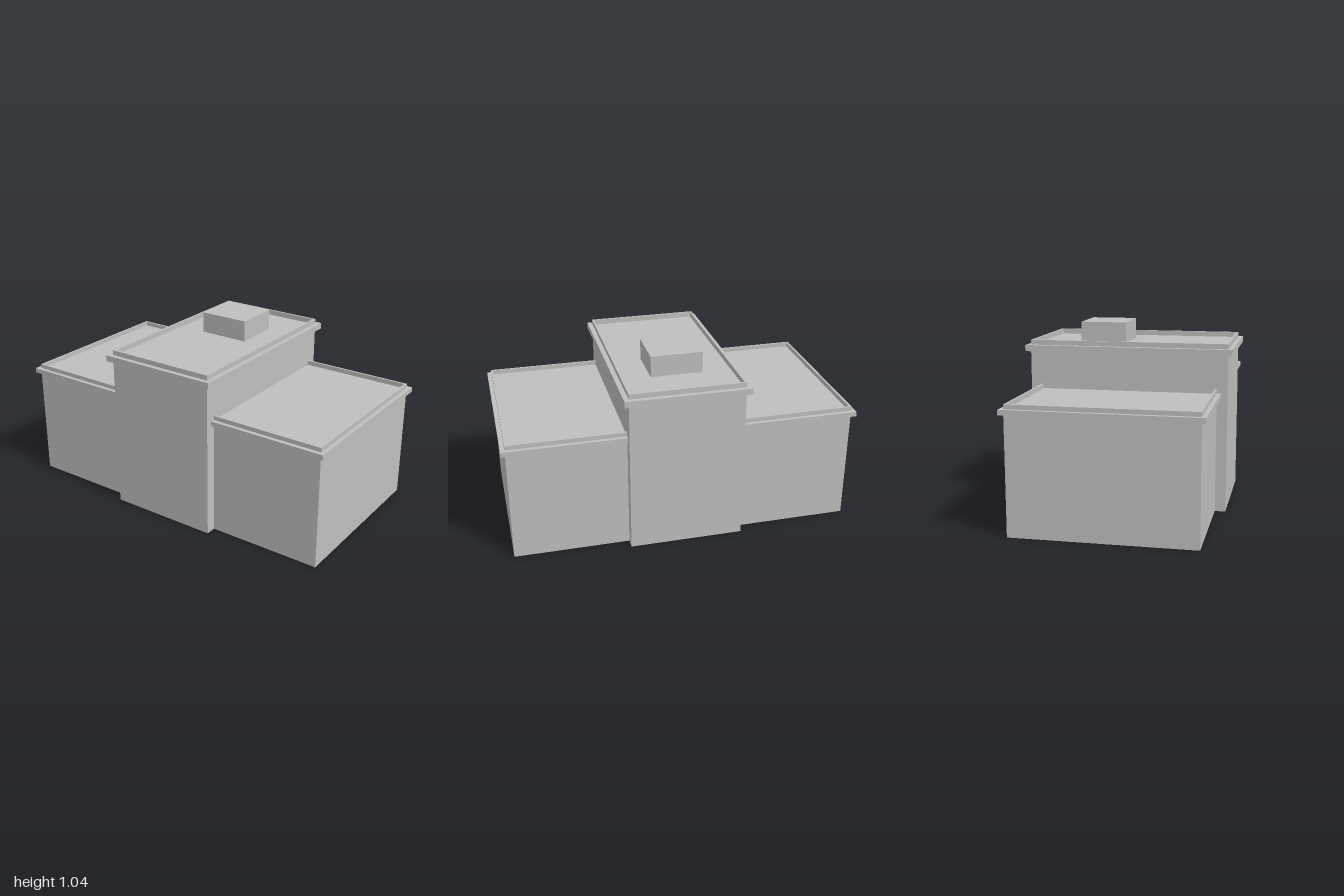
import * as THREE from 'three';

const plaster = new THREE.MeshStandardMaterial({ color: 0xbebebe, side: THREE.DoubleSide });
plaster.name = 'plain grey';

function add(parent, name, geometry) {
  const mesh = new THREE.Mesh(geometry, plaster);
  mesh.name = name;
  parent.add(mesh);
  return mesh;
}

// Thin-walled box between two x positions, without the listed faces
// (face order: +x, -x, top, bottom, +z, -z)
function shell(x0, x1, height, halfDepth, dropped) {
  const g = new THREE.BoxGeometry(x1 - x0, height, halfDepth * 2);
  g.setIndex([...g.index.array].filter((_, i) => !dropped.includes(Math.floor(i / 6))));
  g.clearGroups();
  return g.translate((x0 + x1) / 2, height / 2, 0);
}

// Lays a plan shape flat and raises it from y0 to y1
function raise(shape, y0, y1) {
  return new THREE.ExtrudeGeometry(shape, { depth: y1 - y0, bevelEnabled: false })
    .rotateX(-Math.PI / 2).translate(0, y0, 0);
}

const plan = (points) => points.map(([x, y]) => new THREE.Vector2(x, y));
const rectangle = (x, z) => plan([[-x, -z], [x, -z], [x, z], [-x, z]]);

// Closed rectangular ring
function ring(x, z, inX, inZ) {
  const shape = new THREE.Shape(rectangle(x, z));
  shape.holes.push(new THREE.Path(rectangle(inX, inZ).reverse()));
  return shape;
}

// Three-sided ring, open towards the central block
function bracket(start, x, z, inX, inZ) {
  return new THREE.Shape(plan([
    [start, -z], [x, -z], [x, z], [start, z],
    [start, inZ], [inX, inZ], [inX, -inZ], [start, -inZ],
  ]));
}

export function createModel() {
  const model = new THREE.Group();
  model.name = 'building';
  const cx = 0.323, cz = 0.563; // central block half sizes
  const wx = 0.976, wz = 0.503; // wing outer end and half depth
  const rim = 0.012;

  // Tall central block, open underneath
  const centre = new THREE.Group();
  centre.name = 'centralBlock';
  model.add(centre);
  add(centre, 'centralWallsAndRoof', shell(-cx, cx, 0.922, cz, [3]));
  add(centre, 'centralCornice', raise(ring(0.35, 0.589, cx, cz), 0.889, 0.924));
  add(centre, 'centralParapet', raise(ring(cx, cz, cx - rim, cz - rim), 0.922, 0.952));

  // Rooftop housing
  add(model, 'rooftopHousing', new THREE.BoxGeometry(0.294, 0.121, 0.265))
    .position.set(0, 0.9825, -0.179);

  // Two lower wings, one turned half round
  for (const [name, turn] of [['leftWing', 0], ['rightWing', Math.PI]]) {
    const wing = new THREE.Group();
    wing.name = name;
    wing.rotation.y = turn;
    model.add(wing);
    add(wing, 'wingWallsAndRoof', shell(cx, wx, 0.675, wz, [1, 3]));
    add(wing, 'wingCornice', raise(bracket(cx, 1, 0.526, wx, wz), 0.649, 0.677));
    add(wing, 'wingParapet', raise(bracket(cx, wx, wz, wx - rim, wz - rim), 0.675, 0.701));
  }
  return model;
}
